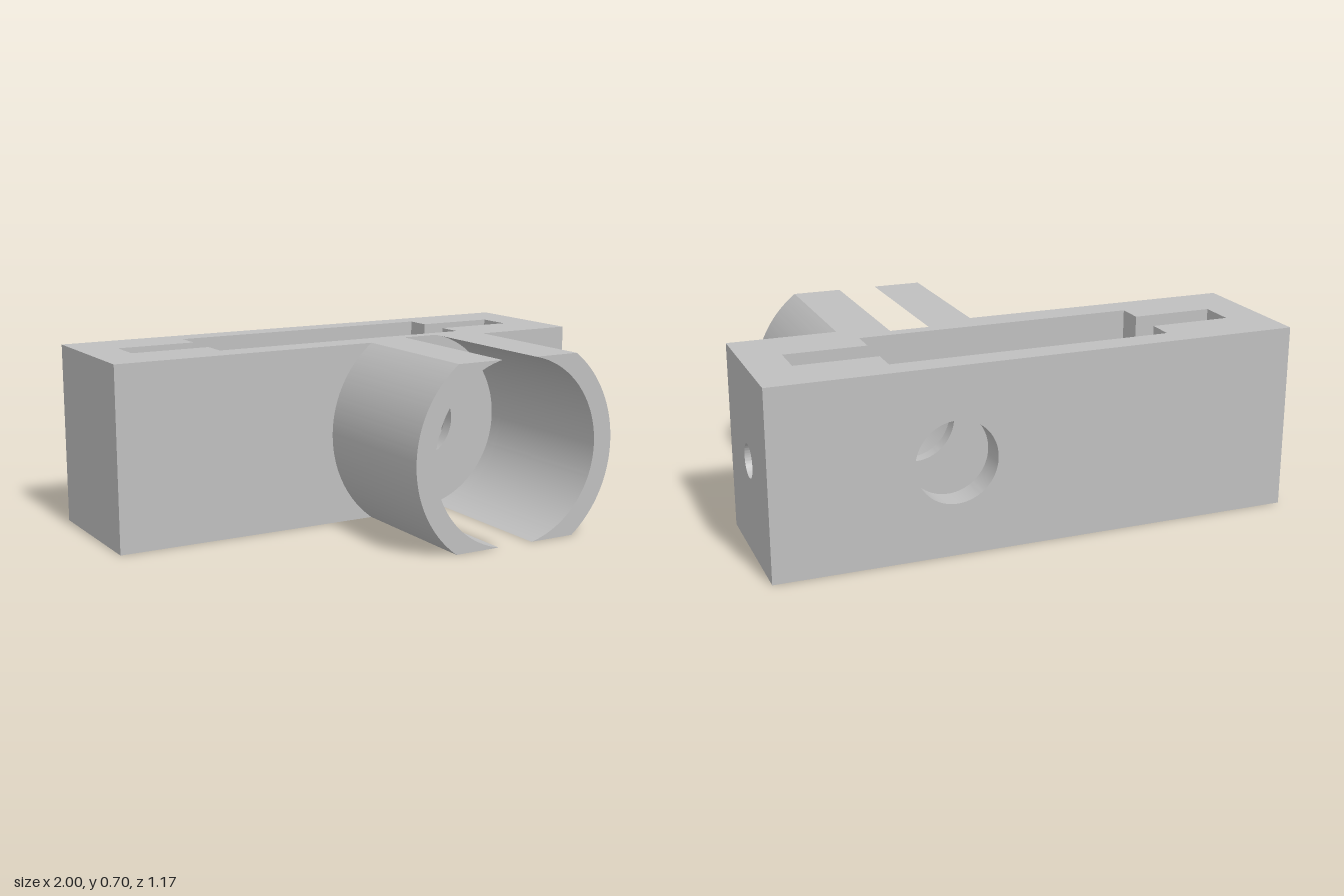
import * as THREE from 'three';
import { toCreasedNormals } from 'three/addons/utils/BufferGeometryUtils.js';

const H = 0.704, CY = H / 2, CX = 0.326;       // height and bore centre
const BORE = 0.36, OUTER = 0.44, HOLE = 0.155; // radii
const BACK = -0.586, SLOT_BACK = -0.486, SLOT_FRONT = -0.136;
const POCKET = -0.085, FACE = -0.023, TIP = 0.586;

export function createModel() {
  const group = new THREE.Group();
  const grey = new THREE.MeshStandardMaterial({ color: 0xbfbfbf });
  grey.name = 'grey';

  function add(name, geometry) {
    const mesh = new THREE.Mesh(geometry, grey);
    mesh.name = name;
    group.add(mesh);
    return mesh;
  }

  function extrude(shape, from, to) {
    const g = new THREE.ExtrudeGeometry(shape, { depth: to - from, bevelEnabled: false, curveSegments: 48 });
    g.translate(0, 0, from);
    return toCreasedNormals(g, 0.5);
  }

  function plate(x0, x1, hx, r) {
    const s = new THREE.Shape();
    s.moveTo(x0, 0).lineTo(x1, 0).lineTo(x1, H).lineTo(x0, H).closePath();
    s.holes.push(new THREE.Path().absarc(hx, CY, r, 0, Math.PI * 2, true));
    return s;
  }

  function block(name, x0, x1, z0, z1) {
    const g = new THREE.BoxGeometry(x1 - x0, H, z1 - z0);
    g.translate((x0 + x1) / 2, CY, (z0 + z1) / 2);
    add(name, g);
  }

  // One side of the open bore, about its centre; edge = straight outer side, or null for round
  function boreSide(edge) {
    const a = Math.asin(CY / BORE), b = Math.asin(CY / OUTER);
    const s = new THREE.Shape();
    s.moveTo(BORE * Math.cos(a), -CY);
    if (edge === null) {
      s.lineTo(OUTER * Math.cos(b), -CY);
      s.absarc(0, 0, OUTER, -b, b, false);
    } else {
      s.lineTo(edge, -CY).lineTo(edge, CY);
    }
    s.lineTo(BORE * Math.cos(a), CY);
    s.absarc(0, 0, BORE, a, -a, true);
    return s;
  }

  // Walls behind and in front of the slot, both with the round hole
  add('backWall', extrude(plate(-1, 1, CX, HOLE), BACK, SLOT_BACK));
  add('frontWall', extrude(plate(-1, 1, CX, HOLE), SLOT_FRONT, POCKET));

  // Front face around the bore pocket, and the two clip arms
  for (const side of [1, -1]) {
    const label = side > 0 ? 'left' : 'right';
    const parts = [
      [label + 'FrontFace', extrude(boreSide(1 - side * CX), POCKET, FACE)],
      [label + 'ClipArm', extrude(boreSide(null), FACE, TIP)],
    ];
    for (const [name, g] of parts) {
      if (side < 0) g.rotateZ(Math.PI);
      add(name, g.translate(CX, CY, 0));
    }
  }

  // Jaws that narrow the slot near each end
  for (const [x0, x1, label] of [[-0.848, -0.536, 'right'], [0.536, 0.848, 'left']]) {
    block(label + 'BackJaw', x0, x1, SLOT_BACK, -0.381);
    block(label + 'FrontJaw', x0, x1, -0.239, SLOT_FRONT);
  }

  // End walls, the left one drilled for a pin
  block('rightEnd', -1, -0.848, SLOT_BACK, SLOT_FRONT);
  const end = extrude(plate(-SLOT_FRONT, -SLOT_BACK, 0.305, 0.062), 0.848, 1);
  add('leftEnd', end.rotateY(Math.PI / 2));

  return group;
}
